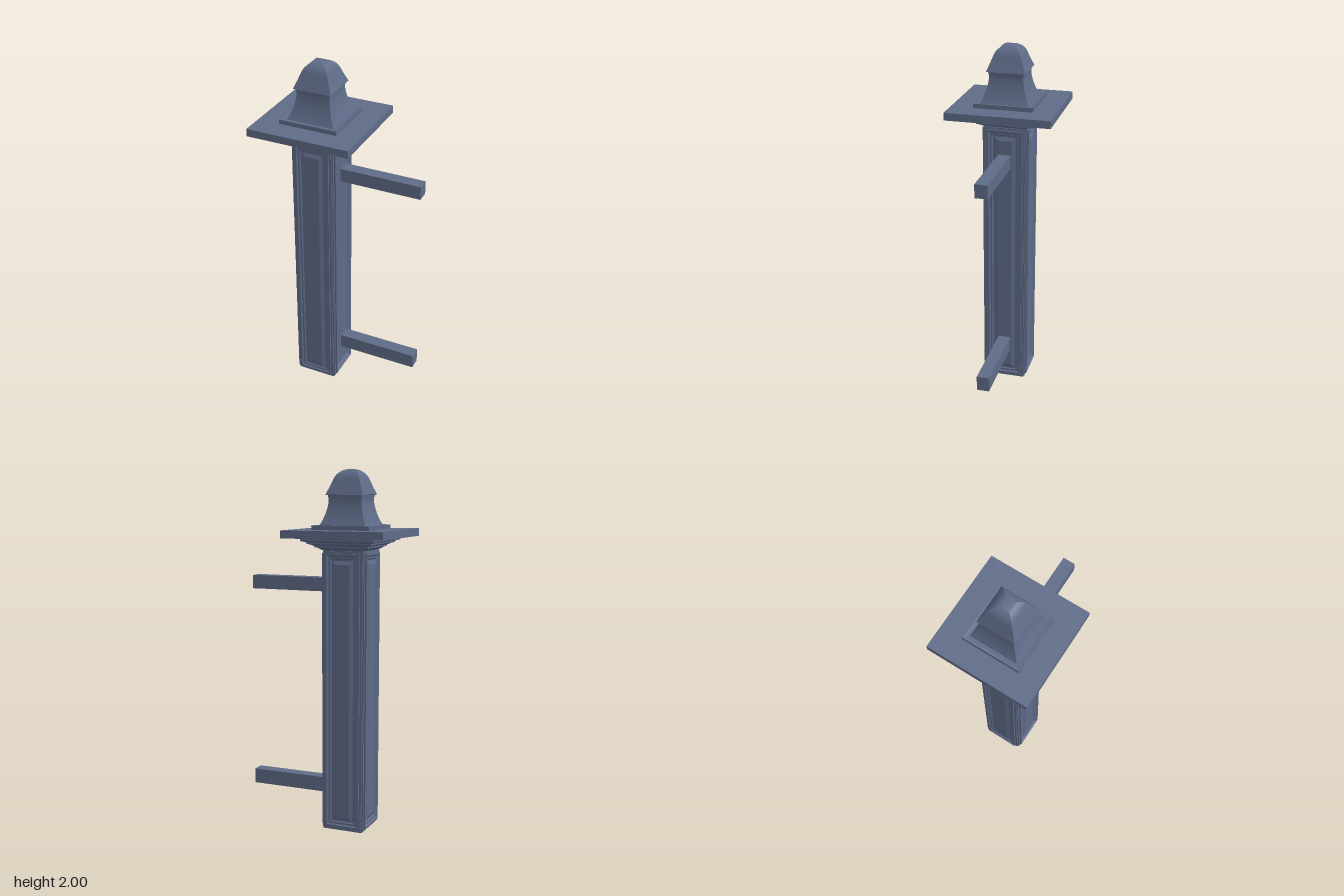
import * as THREE from 'three';
import { toCreasedNormals } from 'three/addons/utils/BufferGeometryUtils.js';

const material = new THREE.MeshStandardMaterial({ color: 0x5f6b88 });

function part(name, geometry, parent) {
  const mesh = new THREE.Mesh(geometry, material);
  mesh.name = name;
  parent.add(mesh);
  return mesh;
}

// Square turned shape: points are [half width, y] from bottom to top
function squareLoft(points) {
  const profile = points.map(([r, y]) => new THREE.Vector2(r * Math.SQRT2, y));
  return toCreasedNormals(new THREE.LatheGeometry(profile, 4, Math.PI / 4), 0.6);
}

// Nested rectangles [half width, half height, depth], outermost first, facing +z
function nestedPanel(loops) {
  const rings = loops.map(([w, h, d]) => [[-w, -h, d], [w, -h, d], [w, h, d], [-w, h, d]]);
  const pos = [];
  const quad = (a, b, c, d) => pos.push(...a, ...b, ...c, ...a, ...c, ...d);
  for (let k = 0; k < rings.length - 1; k++) {
    for (let i = 0; i < 4; i++) {
      const j = (i + 1) % 4;
      quad(rings[k][i], rings[k][j], rings[k + 1][j], rings[k + 1][i]);
    }
  }
  quad(...rings[rings.length - 1]);
  const geometry = new THREE.BufferGeometry();
  geometry.setAttribute('position', new THREE.Float32BufferAttribute(pos, 3));
  geometry.computeVertexNormals();
  return geometry;
}

// Rail with a sunken panel along its top and underside
function rail(y, height) {
  const group = new THREE.Group();
  group.name = 'rail';
  const half = 0.235, w = 0.035, d = height / 2;
  const geometry = nestedPanel([[0, 0, 0], [0.005, 0, 0], [0.012, 0.007, 0.005], [0.023, 0.016, 0.015]]
    .map(([inset, , drop]) => [half - inset, w - inset, d - drop]));
  const sides = nestedPanel([[half, w, 0], [half, w, d]]);
  // keep only the four side walls; the sunken panel closes them
  sides.setDrawRange(0, 24);
  for (const s of [-1, 1]) {
    part('railPanel', geometry, group).rotation.x = s * Math.PI / 2;
    part('railSides', sides, group).rotation.x = s * Math.PI / 2;
  }
  group.position.set(0.205, y, 0);
  return group;
}

export function createModel() {
  const model = new THREE.Group();
  model.name = 'gatePost';
  const post = new THREE.Group();
  post.name = 'post';
  post.position.x = -0.15;
  model.add(post);

  // Shaft with a moulded panel on each side
  part('shaft', new THREE.BoxGeometry(0.23, 1.57, 0.23), post).position.y = 0.785;
  const steps = [[0.112, 0.115], [0.112, 0.121], [0.1, 0.121], [0.1, 0.13], [0.09, 0.13],
    [0.083, 0.123], [0.073, 0.123], [0.067, 0.117], [0.06, 0.117], [0.04, 0.126]];
  const panel = nestedPanel(steps.map(([w, d]) => [w, w + 0.665, d]));
  for (let i = 0; i < 4; i++) {
    const mesh = part('shaftPanel', panel, post);
    mesh.position.y = 0.785;
    mesh.rotation.y = i * Math.PI / 2;
  }

  // Stepped cornice under the cap
  part('cornice', squareLoft([[0.115, 1.565], [0.125, 1.57], [0.145, 1.583], [0.152, 1.583],
    [0.152, 1.59], [0.178, 1.602], [0.185, 1.602], [0.185, 1.61], [0.21, 1.618], [0.21, 1.636]]), post);

  // Cap slab and plinth
  part('capSlab', new THREE.BoxGeometry(0.58, 0.042, 0.58), post).position.y = 1.655;
  part('plinth', squareLoft([[0.165, 1.675], [0.165, 1.7], [0.156, 1.7], [0.146, 1.694], [0.13, 1.694]]), post);

  // Finial: flared neck and domed top
  const neck = new THREE.SplineCurve([[0.137, 1.69], [0.118, 1.73], [0.102, 1.78], [0.094, 1.83], [0.098, 1.862]]
    .map(p => new THREE.Vector2(...p))).getPoints(12).map(p => [p.x, p.y]);
  part('finialNeck', squareLoft(neck), post);
  const dome = new THREE.SplineCurve([[0.108, 1.862], [0.088, 1.91], [0.07, 1.957], [0.052, 1.98], [0.028, 1.995], [0, 2]]
    .map(p => new THREE.Vector2(...p))).getPoints(15).map(p => [Math.max(p.x, 0), p.y]);
  part('finialDome', squareLoft([[0.09, 1.86], ...dome]), post);

  // Two rails on the left side
  model.add(rail(1.372, 0.076), rail(0.227, 0.084));
  return model;
}
